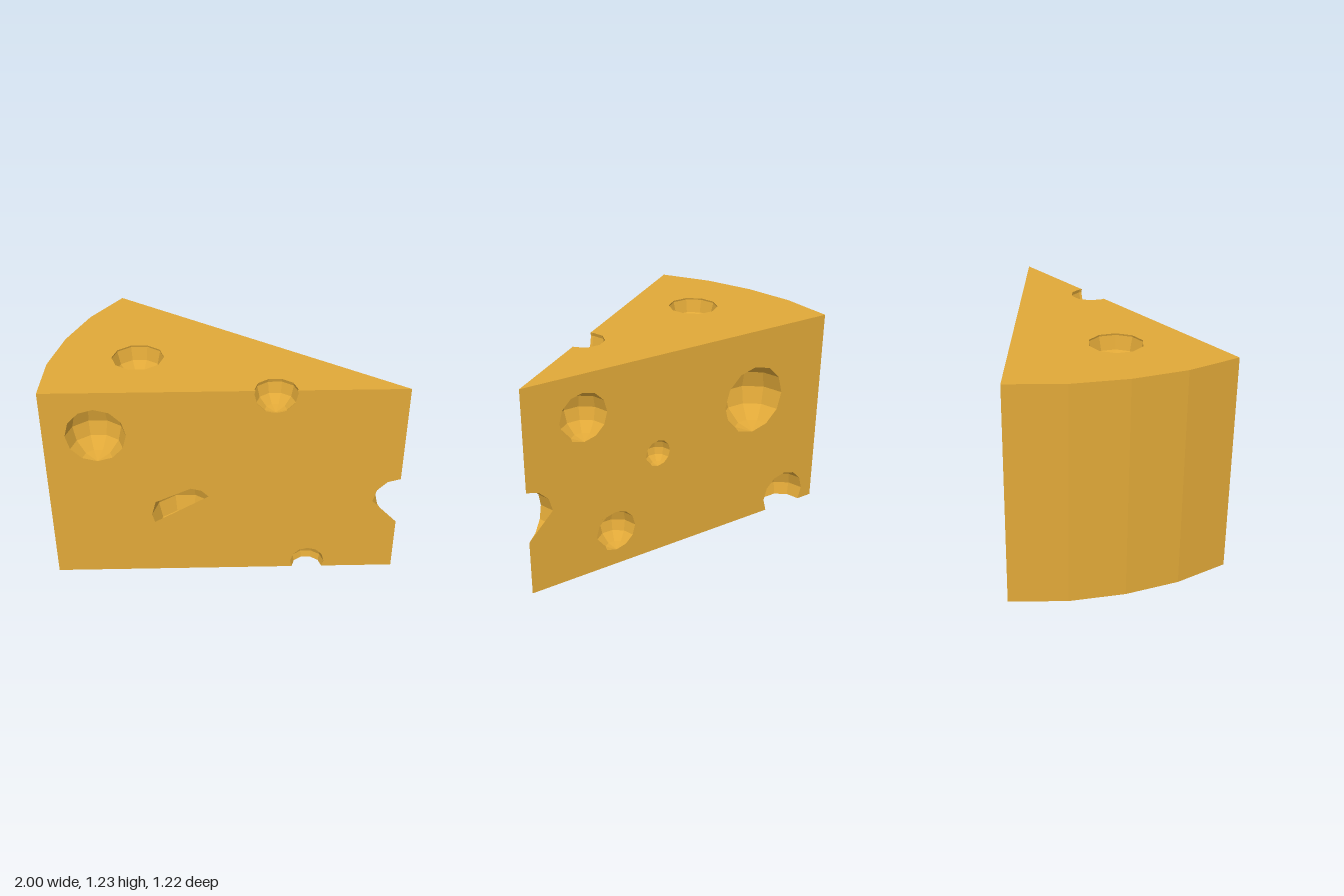
import * as THREE from 'three';

const EPS = 1e-6;
const HEIGHT = 1.225;
const SLOPE = 0.61 / 1.89; // half width of the wedge per unit from its tip
const V = (x, y, z) => new THREE.Vector3(x, y, z);
const planeOf = (poly) => new THREE.Plane().setFromCoplanarPoints(poly[0], poly[1], poly[2]);

// Cut a convex polygon by a plane: [part behind, part in front], null where empty
function split(poly, plane) {
  const dist = poly.map((p) => plane.distanceToPoint(p));
  const back = [], front = [];
  poly.forEach((p, i) => {
    const j = (i + 1) % poly.length, a = dist[i], b = dist[j];
    if (a <= EPS) back.push(p);
    if (a >= -EPS) front.push(p);
    if ((a > EPS && b < -EPS) || (a < -EPS && b > EPS)) {
      const m = p.clone().lerp(poly[j], a / (a - b));
      back.push(m);
      front.push(m);
    }
  });
  return [dist.some((d) => d < -EPS) ? back : null, dist.some((d) => d > EPS) ? front : null];
}

// Remove from a polygon what lies inside a convex solid
function subtract(poly, planes) {
  const kept = [];
  let rest = poly;
  for (const plane of planes) {
    const [back, front] = split(rest, plane);
    if (!back) return [poly];
    if (front) kept.push(front);
    rest = back;
  }
  return kept;
}

// Keep of a polygon what lies inside a convex solid
function intersect(poly, planes) {
  for (const plane of planes) {
    if (!poly) return null;
    poly = split(poly, plane)[0];
  }
  return poly;
}

function toMesh(name, polys, material) {
  const pos = [];
  for (const poly of polys) {
    for (let i = 1; i < poly.length - 1; i++) {
      for (const p of [poly[0], poly[i], poly[i + 1]]) pos.push(p.x, p.y, p.z);
    }
  }
  const geo = new THREE.BufferGeometry();
  geo.setAttribute('position', new THREE.Float32BufferAttribute(pos, 3));
  geo.computeVertexNormals();
  const mesh = new THREE.Mesh(geo, material);
  mesh.name = name;
  return mesh;
}

// Faces of the wedge: a triangle with a bowed rear
function wedgeFaces() {
  const outline = [[1, 0], [-0.89, -0.61], [-0.975, -0.305], [-1, 0], [-0.975, 0.305], [-0.89, 0.61]];
  const top = outline.map(([x, z]) => V(x, HEIGHT, z));
  const bottom = outline.map(([x, z]) => V(x, 0, z));
  const sides = outline.map((_, i) => {
    const j = (i + 1) % outline.length;
    return [bottom[i], bottom[j], top[j], top[i]];
  });
  return [top, bottom.slice().reverse(), ...sides];
}

// Triangles of a low-poly ball
function ballFaces(x, y, z, r) {
  const p = new THREE.SphereGeometry(r, 10, 6, Math.PI / 2).toNonIndexed().getAttribute('position');
  const faces = [];
  for (let i = 0; i < p.count; i += 3) {
    faces.push([0, 1, 2].map((k) => new THREE.Vector3().fromBufferAttribute(p, i + k).add(V(x, y, z))));
  }
  return faces;
}

// Upright plane that limits a hole's opening to the left of the line a-b
function lid(ax, ay, bx, by) {
  const n = V(by - ay, ax - bx, 0).normalize();
  return new THREE.Plane().setFromNormalAndCoplanarPoint(n, V(ax, ay, 0));
}

export function createModel() {
  const cheese = new THREE.MeshStandardMaterial({ color: 0xe0a838 });
  cheese.name = 'cheese yellow';
  const onFront = (x) => (1 - x) * SLOPE;
  const onBack = (x) => -(1 - x) * SLOPE;

  // x, y, z, radius, lids
  const holes = [
    // front side
    [-0.615, 0.955, onFront(-0.615), 0.166],
    [-0.165, 0.41, onFront(-0.165), 0.19, [lid(-0.34, 0.35, -0.015, 0.545), lid(-0.11, 0.6, -0.32, 0.5)]],
    [0.518, 0.04, onFront(0.518), 0.1],
    // top
    [-0.52, 1.215, 0.085, 0.15],
    [0.312, 1.205, 0.208, 0.122],
    // tip
    [1.005, 0.482, 0, 0.154, [lid(0.86, 0.48, 1, 0.33)]],
    // back side
    [0.665, 0.978, onBack(0.665), 0.142],
    [-0.41, 0.797, onBack(-0.41), 0.207],
    [0.225, 0.635, onBack(0.225), 0.08],
    [0.49, 0.22, onBack(0.49), 0.125],
    [-0.67, 0.076, onBack(-0.67), 0.152],
  ];

  const faces = wedgeFaces();
  const wedgePlanes = faces.map(planeOf);
  let body = faces;
  const group = new THREE.Group();
  group.name = 'cheeseWedge';

  holes.forEach(([x, y, z, r, lids = []], i) => {
    const ball = ballFaces(x, y, z, r);
    const cutter = [...ball.map(planeOf), ...lids];
    body = body.flatMap((poly) => subtract(poly, cutter));
    // hollow inside of the hole, facing inwards
    const hollow = ball.map((f) => intersect(f, wedgePlanes)).filter(Boolean).map((f) => f.slice().reverse());
    group.add(toMesh(`hole${i + 1}`, hollow, cheese));
  });

  group.add(toMesh('wedgeBody', body, cheese));
  return group;
}
